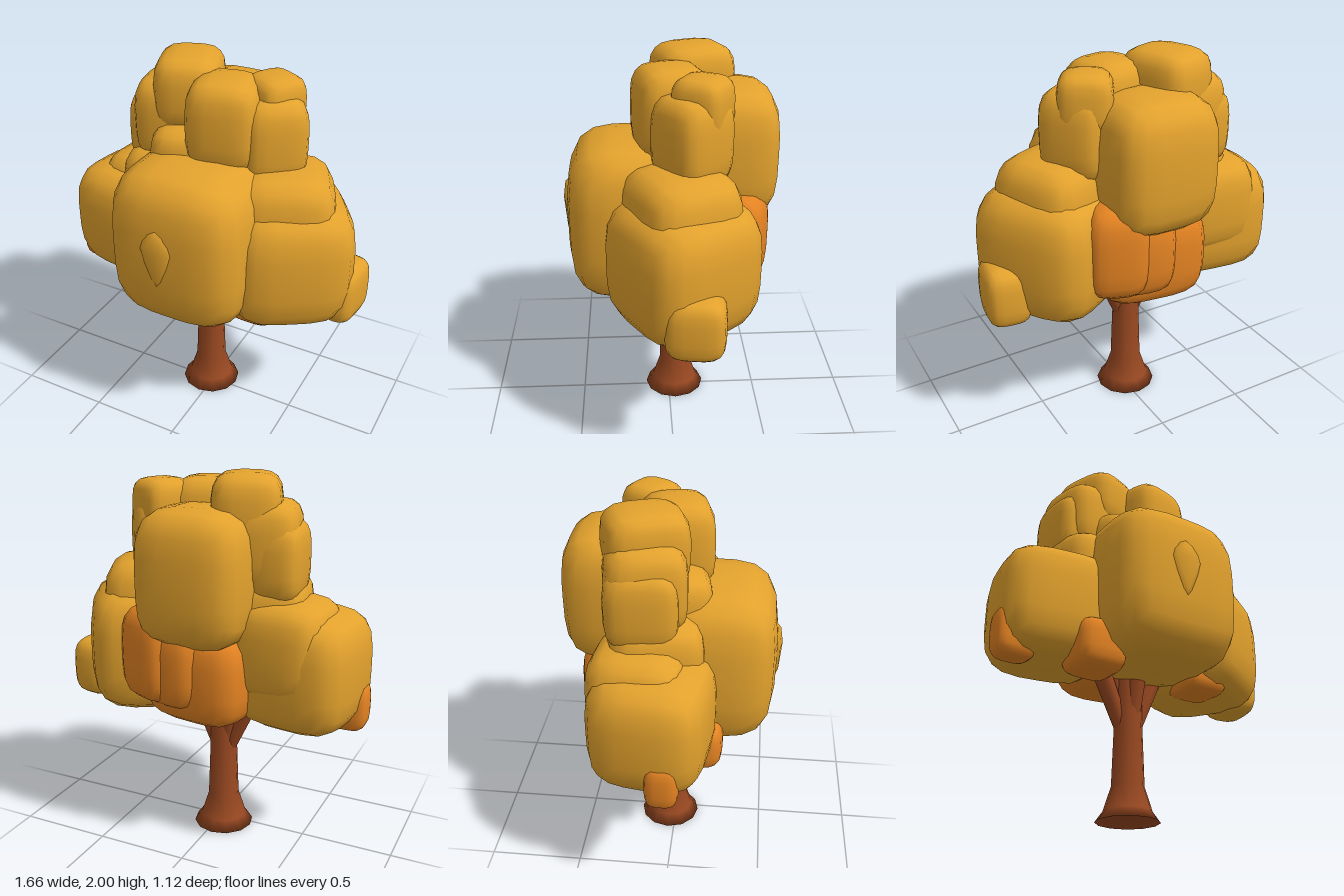
import * as THREE from 'three';
import { mergeVertices } from 'three/addons/utils/BufferGeometryUtils.js';

const gold = new THREE.MeshStandardMaterial({ name: 'goldLeaves', color: 0xe3a22d });
const orange = new THREE.MeshStandardMaterial({ name: 'orangeLeaves', color: 0xe48322 });
const bark = new THREE.MeshStandardMaterial({ name: 'bark', color: 0x984821 });

// Soft, boxy clump: a subdivided cube pushed onto a superellipsoid
function clumpGeometry(power = 3.8) {
  let geo = new THREE.BoxGeometry(2, 2, 2, 6, 6, 6);
  geo.deleteAttribute('uv');
  geo.deleteAttribute('normal');
  geo = mergeVertices(geo);
  const p = geo.attributes.position;
  const v = new THREE.Vector3();
  for (let i = 0; i < p.count; i++) {
    v.fromBufferAttribute(p, i);
    const sum = [v.x, v.y, v.z].reduce((s, c) => s + Math.abs(c) ** power, 0);
    v.multiplyScalar(0.5 / sum ** (1 / power));
    p.setXYZ(i, v.x, v.y, v.z);
  }
  geo.computeVertexNormals();
  return geo;
}

export function createModel() {
  const tree = new THREE.Group();
  tree.name = 'autumnTree';
  const clump = clumpGeometry();

  function add(parent, geo, mat, name) {
    const mesh = new THREE.Mesh(geo, mat);
    mesh.name = name;
    parent.add(mesh);
    return mesh;
  }

  // name, centre, size, turn about y in degrees
  function addClumps(groupName, mat, list) {
    const group = new THREE.Group();
    group.name = groupName;
    tree.add(group);
    for (const [name, centre, size, turn = 0] of list) {
      const mesh = add(group, clump, mat, name);
      mesh.position.set(...centre);
      mesh.scale.set(...size);
      mesh.rotation.y = THREE.MathUtils.degToRad(turn);
    }
  }

  // Trunk with flared foot and hollow underside
  const profile = [[0, 0.04], [0.1, 0.035], [0.165, 0], [0.125, 0.055], [0.085, 0.18], [0.074, 0.5], [0.07, 0.85]]
    .map(([r, y]) => new THREE.Vector2(r, y));
  add(tree, new THREE.LatheGeometry(profile, 12), bark, 'trunk').position.set(-0.03, 0, -0.035);

  // Branches fanning into the crown
  const branches = new THREE.Group();
  branches.name = 'branches';
  tree.add(branches);
  const up = new THREE.Vector3(0, 1, 0);
  for (const [x, z] of [[-0.2, -0.01], [0.18, 0], [0.02, 0.07], [-0.08, -0.04]]) {
    const a = new THREE.Vector3(-0.03 + x * 0.2, 0.49, -0.035 + z * 0.3);
    const b = new THREE.Vector3(-0.03 + x, 0.86, -0.035 + z);
    const dir = b.clone().sub(a);
    const branch = add(branches, new THREE.CylinderGeometry(0.055, 0.04, dir.length(), 8), bark, 'branch');
    branch.position.copy(a).add(b).multiplyScalar(0.5);
    branch.quaternion.setFromUnitVectors(up, dir.normalize());
  }

  addClumps('lowerCrown', gold, [
    ['core', [-0.02, 1.14, -0.08], [0.56, 0.72, 0.54]],
    ['frontClump', [-0.01, 1.15, 0.18], [0.745, 0.85, 0.7]],
    ['leftClump', [0.41, 1.045, -0.05], [0.655, 0.69, 0.67], 32],
    ['leftUpperClump', [0.37, 1.23, -0.04], [0.55, 0.6, 0.52], 25],
    ['leftSmallClump', [0.71, 0.87, -0.095], [0.235, 0.33, 0.3], -8],
    ['rightClump', [-0.49, 1.03, -0.07], [0.63, 0.62, 0.59], -8],
    ['rightUpperClump', [-0.43, 1.15, -0.14], [0.49, 0.51, 0.49], -5],
    ['rightInnerClump', [-0.28, 1.28, -0.08], [0.48, 0.46, 0.48], 10],
  ]);

  addClumps('upperCrown', gold, [
    ['backClump', [-0.02, 1.5, -0.285], [0.58, 0.69, 0.55]],
    ['middleClump', [-0.12, 1.49, -0.05], [0.44, 0.37, 0.46], 15],
    ['topFrontClump', [0.065, 1.72, -0.005], [0.37, 0.47, 0.37], 14],
    ['topLeftClump', [0.275, 1.64, -0.1], [0.34, 0.46, 0.34], 38],
    ['topLeftBackClump', [0.26, 1.8, -0.15], [0.27, 0.3, 0.27], -30],
    ['topClump', [-0.2, 1.81, -0.13], [0.35, 0.38, 0.41], 20],
    ['topRightClump', [-0.3, 1.65, -0.12], [0.35, 0.45, 0.4], 12],
    ['outerRightClump', [-0.38, 1.58, -0.13], [0.26, 0.4, 0.36], 5],
  ]);

  addClumps('orangeCrown', orange, [
    ['backLowerClump', [-0.02, 0.99, -0.25], [0.58, 0.51, 0.43], -8],
    ['backMiddleClump', [0.1, 1.05, -0.27], [0.46, 0.48, 0.43], -15],
    ['backLeftClump', [0.2, 1.09, -0.33], [0.32, 0.5, 0.33], -20],
    ['rightTipClump', [-0.72, 0.835, 0], [0.22, 0.27, 0.17]],
    ['rightUnderClump', [-0.34, 0.8, 0.13], [0.28, 0.27, 0.29]],
    ['leftUnderClump', [0.32, 0.77, 0.1], [0.26, 0.16, 0.27]],
  ]);

  // Shallow leaf bump on the front clump, longer below than above
  let bump = new THREE.OctahedronGeometry(1, 1);
  bump.deleteAttribute('uv');
  bump.deleteAttribute('normal');
  bump = mergeVertices(bump);
  const p = bump.attributes.position;
  for (let i = 0; i < p.count; i++) {
    const y = p.getY(i);
    const narrow = y < -0.1 ? 0.75 : 1;
    p.setXYZ(i, p.getX(i) * 0.1 * narrow, y * (y > 0 ? 0.125 : 0.24), p.getZ(i) * 0.045);
  }
  bump.computeVertexNormals();
  add(tree, bump, gold, 'frontLeafBump').position.set(-0.04, 1.22, 0.512);

  return tree;
}
